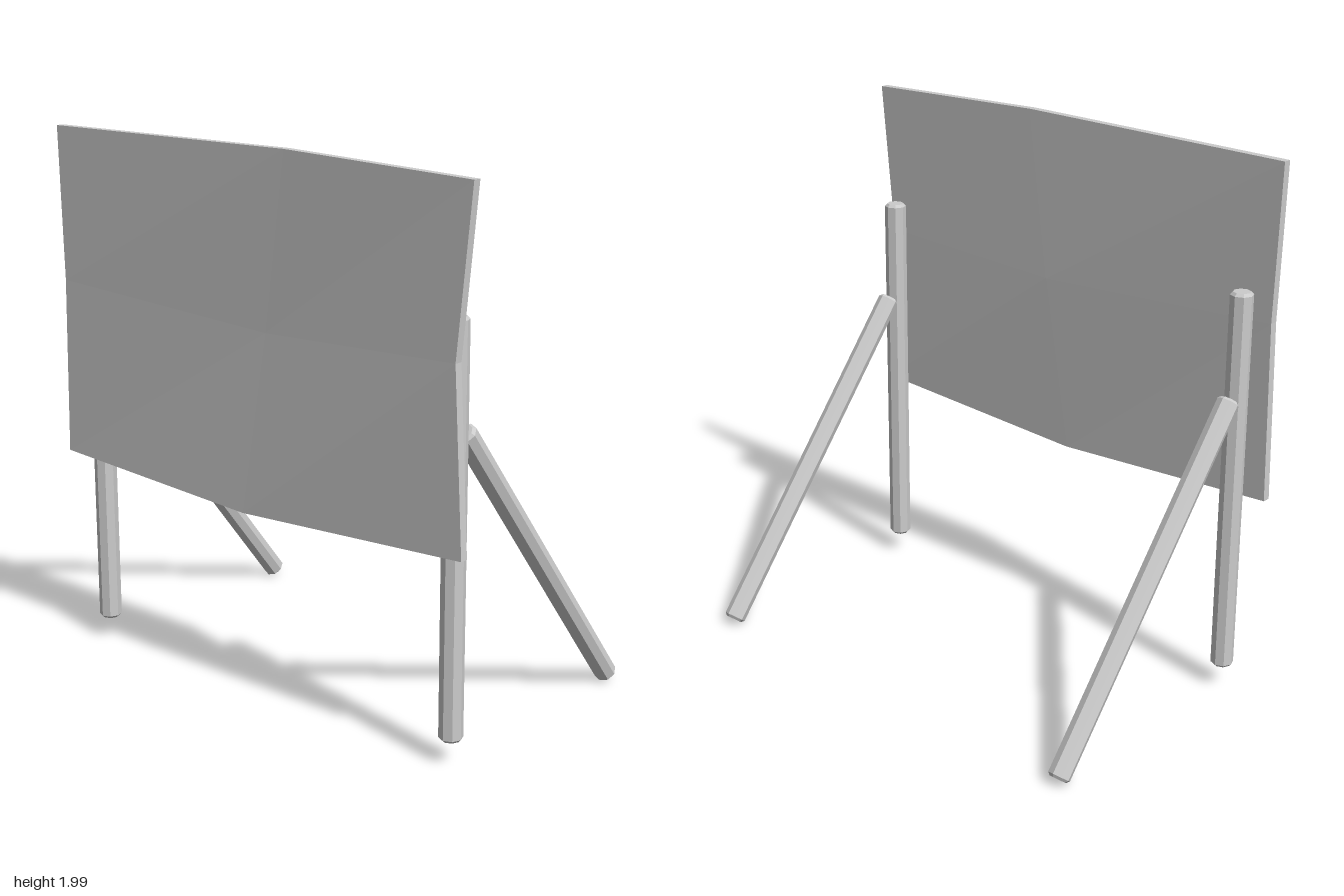
import * as THREE from 'three';

const material = new THREE.MeshStandardMaterial({ color: 0xcccccc, flatShading: true });

// Eight-sided pole with chamfered ends, running from a to b
function pole(name, a, b, radius = 0.042, chamfer = 0.01) {
  const length = a.distanceTo(b);
  const profile = [
    [0, 0], [radius - chamfer, 0], [radius, chamfer],
    [radius, length - chamfer], [radius - chamfer, length], [0, length],
  ].map(([r, y]) => new THREE.Vector2(r, y));
  const mesh = new THREE.Mesh(new THREE.LatheGeometry(profile, 8), material);
  mesh.name = name;
  mesh.position.copy(a);
  mesh.quaternion.setFromUnitVectors(new THREE.Vector3(0, 1, 0), b.clone().sub(a).normalize());
  return mesh;
}

// Thin board on a 3 x 3 grid, its points pushed out of square and its middle set back
function board() {
  const grid = [ // rows from bottom to top, each from -x to +x
    [[-0.955, 0.76], [-0.04, 0.71], [0.925, 0.76]],
    [[-0.94, 1.42], [0.07, 1.37], [0.89, 1.4]],
    [[-0.955, 1.99], [0.17, 2.0], [0.95, 1.975]],
  ];
  const geometry = new THREE.BoxGeometry(2, 2, 2, 2, 2, 1);
  const p = geometry.attributes.position;
  for (let i = 0; i < p.count; i++) {
    const col = Math.round(p.getX(i)) + 1;
    const row = Math.round(p.getY(i)) + 1;
    const [x, y] = grid[row][col];
    const setBack = row === 1 && col === 1 ? 0.01 : 0;
    p.setXYZ(i, x, y, (p.getZ(i) > 0 ? 0.52 : 0.49) - setBack);
  }
  geometry.computeVertexNormals();
  const mesh = new THREE.Mesh(geometry, material);
  mesh.name = 'board';
  return mesh;
}

export function createModel() {
  const model = new THREE.Group();
  model.name = 'signboard';
  model.add(board());

  // An upright post and a sloping rear brace on each side
  for (const [side, x] of [['left', 0.83], ['right', -0.85]]) {
    model.add(
      pole(side + 'Post', new THREE.Vector3(x, 0.09, 0.437), new THREE.Vector3(x, 1.53, 0.437)),
      pole(side + 'Brace', new THREE.Vector3(x, 0.026, -0.49), new THREE.Vector3(x, 1.145, 0.395), 0.041),
    );
  }
  return model;
}
